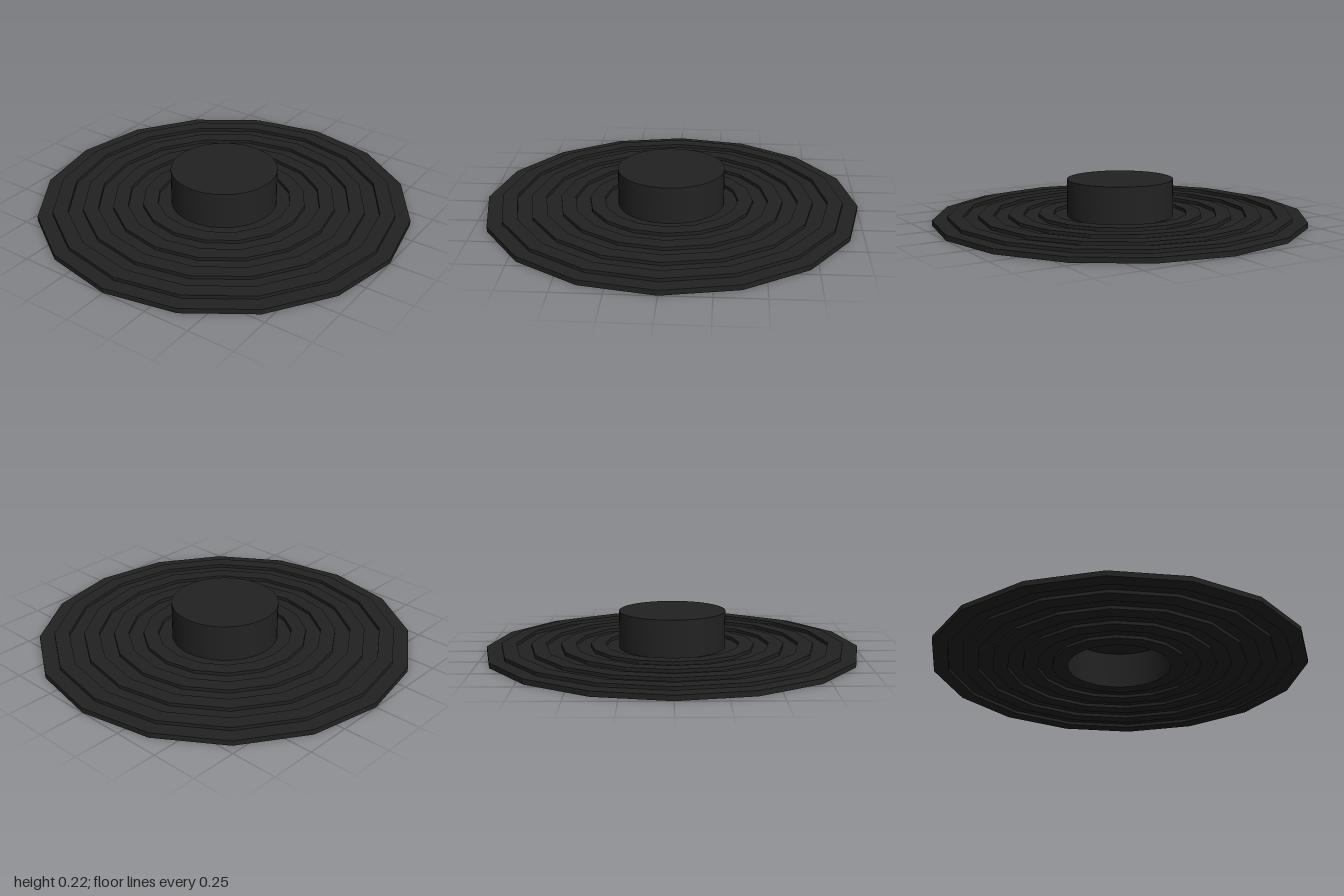
import * as THREE from 'three';
import { toCreasedNormals } from 'three/addons/utils/BufferGeometryUtils.js';

const black = new THREE.MeshStandardMaterial({ color: 0x222222 });
black.name = 'matte black';

// Revolve a closed profile; edges sharper than the crease angle stay hard
function revolve(name, points, sides, crease) {
  const profile = points.map(([r, y]) => new THREE.Vector2(r, y));
  const geometry = toCreasedNormals(new THREE.LatheGeometry(profile, sides), crease);
  const mesh = new THREE.Mesh(geometry, black);
  mesh.name = name;
  return mesh;
}

export function createModel() {
  const group = new THREE.Group();
  group.name = 'corrugatedDisc';

  // Corrugated disc: nine concentric rings, alternately low and raised
  const inner = 0.28, rings = 9, thickness = 0.027, step = 0.018;
  const width = (1 - inner) / rings;
  const bottom = [], top = [];
  for (let i = 0; i < rings; i++) {
    const y = i % 2 ? step : 0;
    for (const r of [inner + i * width, inner + (i + 1) * width]) {
      bottom.push([r, y]);
      top.unshift([r, y + thickness]);
    }
  }
  group.add(revolve('rings', [...bottom, ...top, bottom[0]], 16, 0.1));

  // Round hub, hollow and open from below
  group.add(revolve('hub', [
    [0, 0.2], [0.275, 0.2], [0.275, 0], [0.285, 0], [0.285, 0.225], [0, 0.225],
  ], 48, 0.5));

  return group;
}
